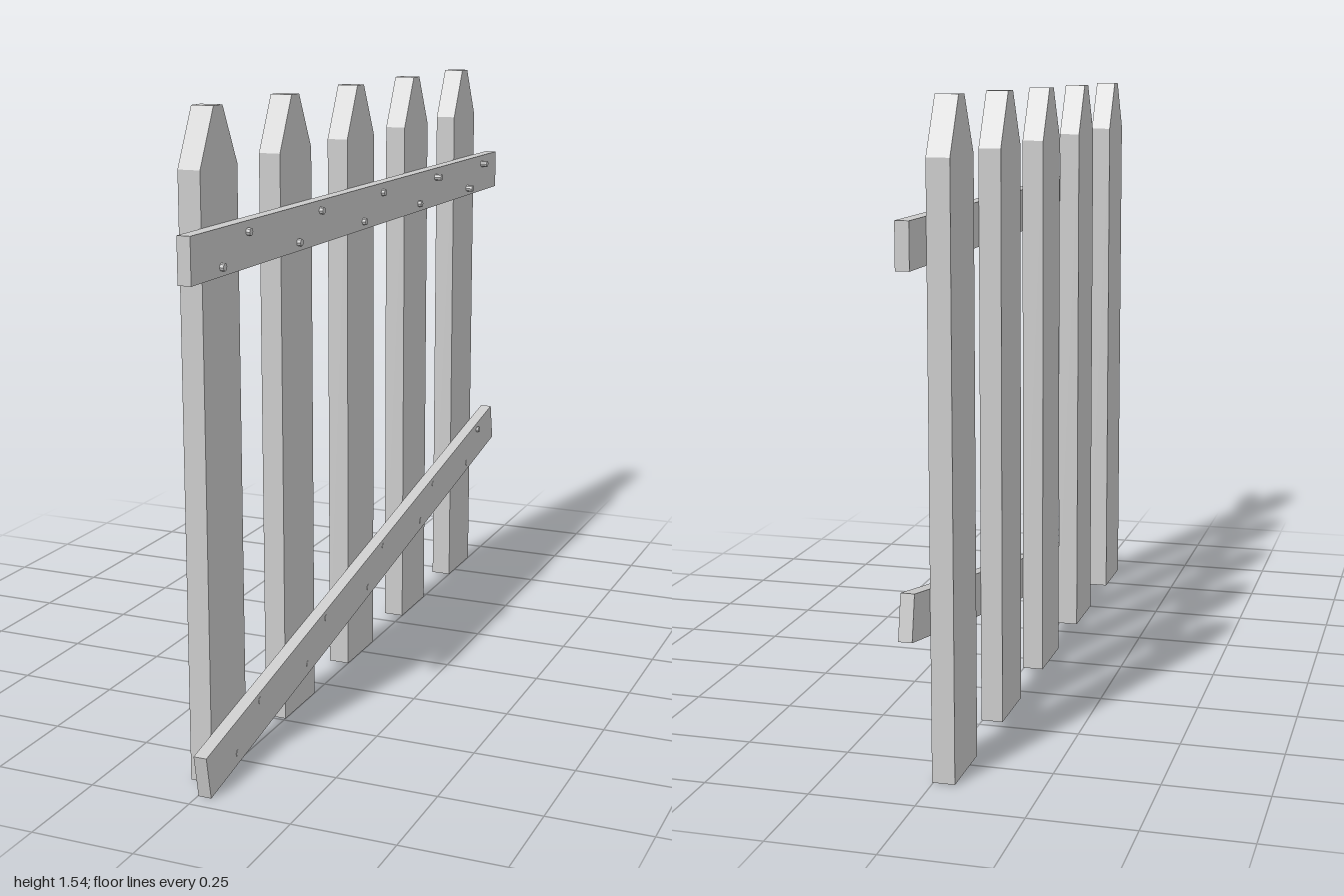
import * as THREE from 'three';

const material = new THREE.MeshStandardMaterial({ color: 0xcccccc, flatShading: true });

function add(parent, name, geometry, x, y, z) {
  const mesh = new THREE.Mesh(geometry, material);
  mesh.name = name;
  mesh.position.set(x, y, z);
  parent.add(mesh);
  return mesh;
}

// Upright board with a blunt pointed top, thickness along x
function picketGeometry() {
  const half = 0.088, tip = 0.021;
  const shape = new THREE.Shape([
    [-half, 0], [half, 0], [half, 1.403], [tip, 1.535], [-tip, 1.535], [-half, 1.403],
  ].map(([u, v]) => new THREE.Vector2(u, v)));
  return new THREE.ExtrudeGeometry(shape, { depth: 0.054, bevelEnabled: false }).rotateY(Math.PI / 2);
}

export function createModel() {
  const fence = new THREE.Group();
  fence.name = 'picketFence';
  const picketZ = [0.802, 0.406, 0.009, -0.388, -0.785];

  // Pickets
  const picket = picketGeometry();
  picketZ.forEach((z) => add(fence, 'picket', picket, -0.0525, 0.006, z));

  // Level upper rail and slipped lower rail
  add(fence, 'upperRail', new THREE.BoxGeometry(0.032, 0.106, 1.988), 0.0175, 1.232, 0.006);
  const lower = add(fence, 'lowerRail', new THREE.BoxGeometry(0.032, 0.106, 1.992), 0.0175, 0.2425, -0.012);
  lower.rotation.x = 0.188;

  // Nails: heads reach out to x = end
  const nails = new THREE.Group();
  nails.name = 'nails';
  fence.add(nails);
  function nail(end, y, z) {
    const length = end - 0.01;
    const geometry = new THREE.CylinderGeometry(0.009, 0.009, length, 8).rotateZ(-Math.PI / 2);
    add(nails, 'nail', geometry, end - length / 2, y, z);
  }
  picketZ.forEach((z, i) => {
    const last = i === picketZ.length - 1;
    nail(i >= 3 ? 0.0525 : 0.043, 1.26, z - 0.07);
    nail(last ? 0.0525 : 0.043, 1.2, z + 0.059);
    // Lower nails climb with the sloping rail and sit almost flush
    nail(0.0345, 0.058 + i * 0.0737, z + 0.025 + (2 - i) * -0.003);
    nail(last ? 0.041 : 0.0345, 0.141 + i * 0.0737, z - 0.083 + (i - 2) * 0.009);
  });

  return fence;
}
